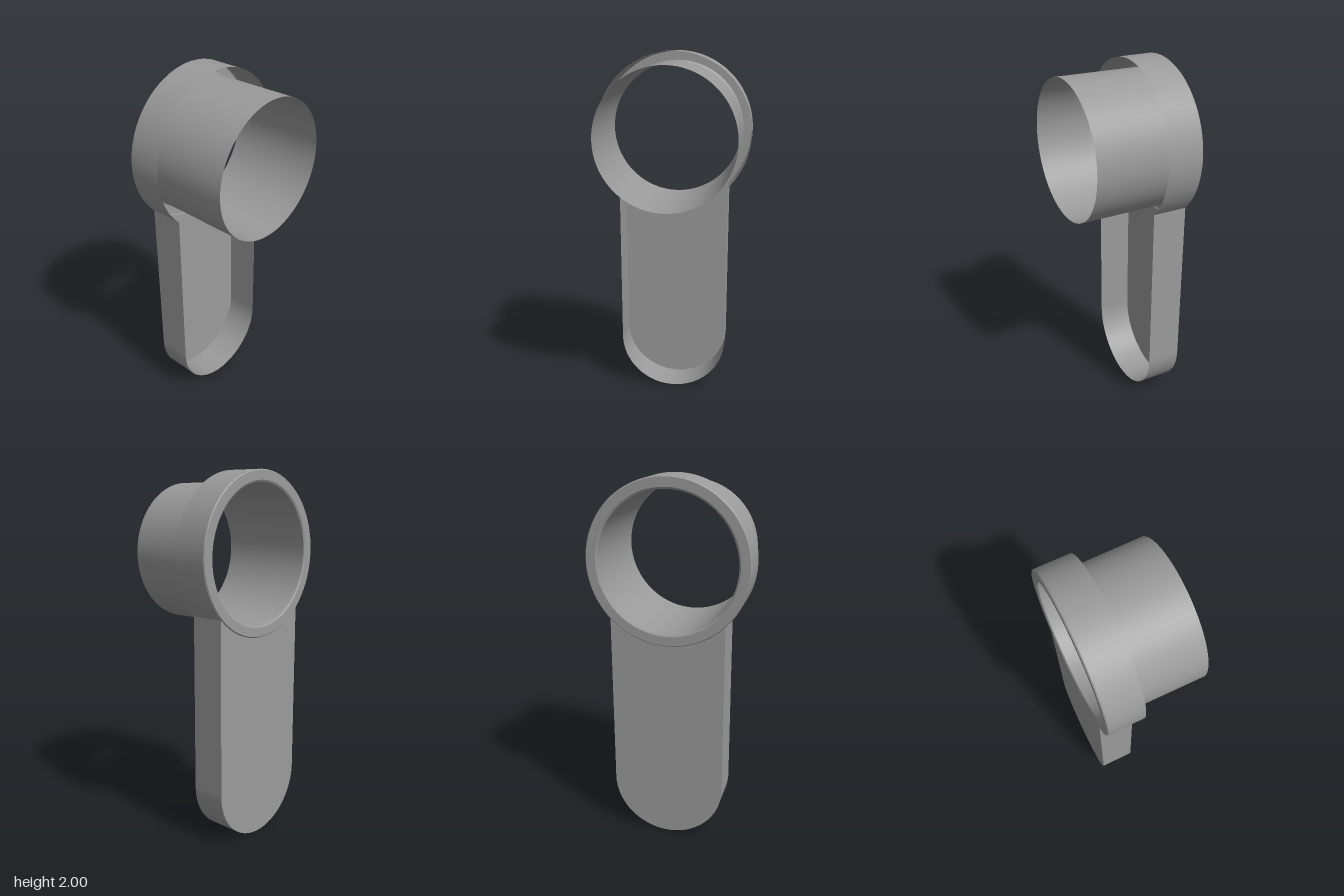
import * as THREE from 'three';
import { toCreasedNormals } from 'three/addons/utils/BufferGeometryUtils.js';

const RING_Y = 1.564, RING_R = 0.436; // collar centre height and radius
const TRAY_R = 0.31;                  // half width of the tray
const FRONT = -0.08, BACK = -0.272;   // depth range of collar and tray
const GAP = Math.asin(TRAY_R / RING_R); // half angle where the tray opens into the collar
const JOIN_Y = RING_Y - RING_R * Math.cos(GAP);

export function createModel() {
  const group = new THREE.Group();
  const material = new THREE.MeshStandardMaterial({ color: 0x9b9b9b, side: THREE.DoubleSide });

  const add = (name, geometry, x = 0, y = 0, z = 0) => {
    const mesh = new THREE.Mesh(geometry, material);
    mesh.name = name;
    mesh.position.set(x, y, z);
    group.add(mesh);
  };
  // Surface turned around the z axis from [radius, z] points; angle 0 points down
  const turned = (profile, start = 0, sweep = Math.PI * 2, segments = 72) => {
    const points = profile.map(([r, z]) => new THREE.Vector2(r, z));
    return new THREE.LatheGeometry(points, segments, start, sweep).rotateX(Math.PI / 2);
  };

  // Thin, slightly tapered tube, open at both ends
  add('tube', turned([[0.372, BACK], [0.376, 0.278]]), 0, RING_Y);

  // Collar wall, interrupted where the tray joins
  add('collar', turned([[RING_R, BACK], [RING_R, FRONT]], GAP, 2 * (Math.PI - GAP)), 0, RING_Y);

  // Chamfered rim closing the back of the collar
  const rim = turned([[0.372, BACK], [0.382, -0.278], [0.431, -0.278], [RING_R, BACK]]);
  add('rim', toCreasedNormals(rim, 0.4), 0, RING_Y);

  // Tray side walls
  for (const side of [1, -1]) {
    const wall = new THREE.PlaneGeometry(FRONT - BACK, JOIN_Y - TRAY_R).rotateY(side * Math.PI / 2);
    add(side > 0 ? 'leftTrayWall' : 'rightTrayWall', wall,
      side * TRAY_R, (JOIN_Y + TRAY_R) / 2, (FRONT + BACK) / 2);
  }

  // Rounded lower end of the tray
  add('trayEnd', turned([[TRAY_R, BACK], [TRAY_R, FRONT]], -Math.PI / 2, Math.PI, 36), 0, TRAY_R);

  // Back plate of the tray, its curved top tucked just under the rim
  const plate = new THREE.Shape();
  plate.moveTo(TRAY_R, JOIN_Y);
  plate.lineTo(TRAY_R, TRAY_R);
  plate.absarc(0, TRAY_R, TRAY_R, 0, -Math.PI, true);
  plate.lineTo(-TRAY_R, JOIN_Y);
  plate.absarc(0, RING_Y, RING_R - 0.003, -Math.PI / 2 - GAP, -Math.PI / 2 + GAP, false);
  add('trayBack', new THREE.ShapeGeometry(plate, 36).rotateY(Math.PI), 0, 0, BACK);

  return group;
}
